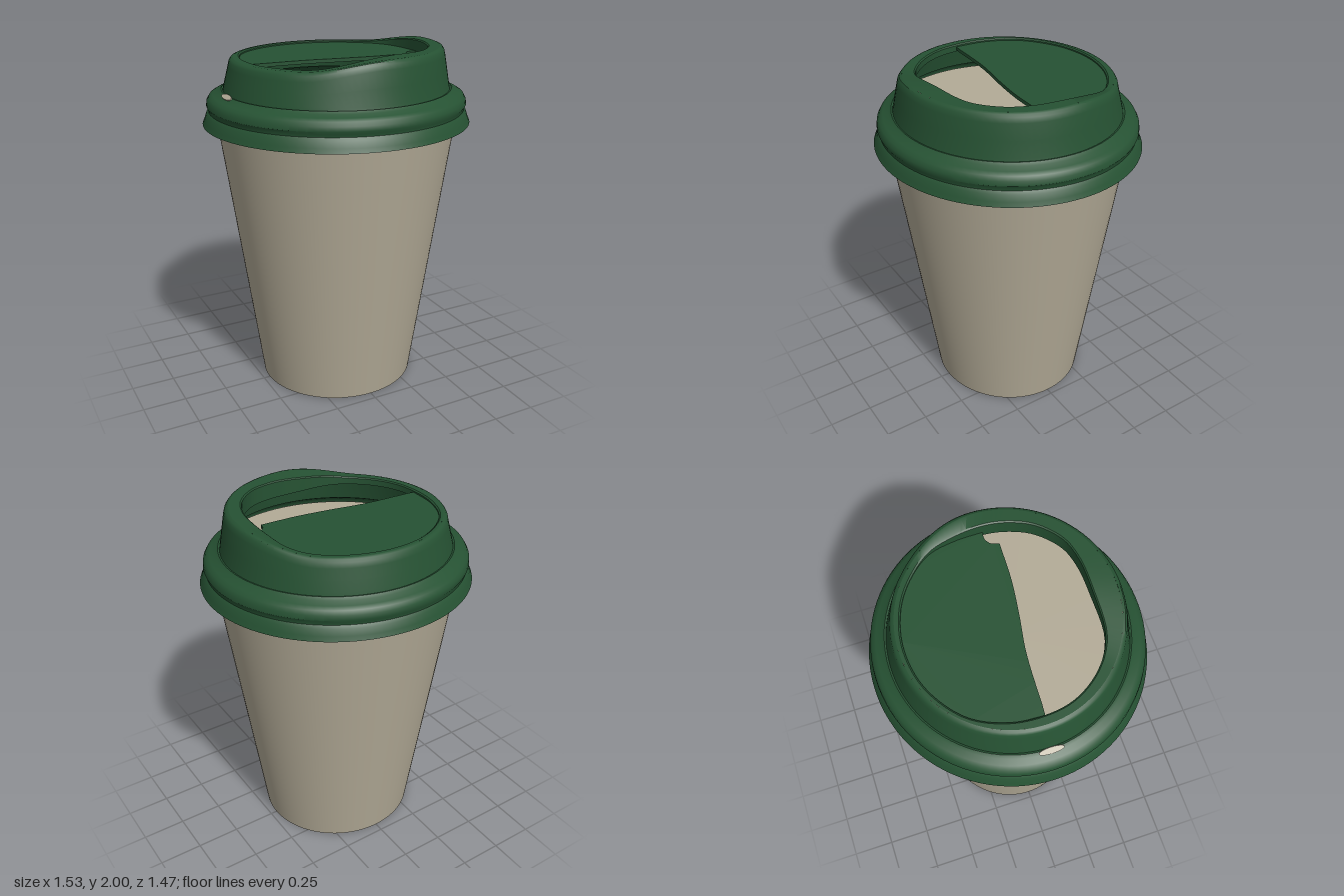
import * as THREE from 'three';
import { toCreasedNormals } from 'three/addons/utils/BufferGeometryUtils.js';

const SQUASH = 0.965; // cup is slightly oval
const SEG = 96;
const v2 = (p) => p.map(([x, y]) => new THREE.Vector2(x, y));
const v3 = (p) => p.map(([x, z]) => new THREE.Vector3(x, 0, z));

// Height of the lid rim: low at the back right corner, high over the drinking side
function rimHeight(x, z) {
  return 1.945 + 0.055 * THREE.MathUtils.smoothstep(0.72 * x + 0.7 * z, -0.02, 0.42);
}

function lathe(points) {
  const g = new THREE.LatheGeometry(v2(points), SEG);
  g.scale(1, 1, SQUASH);
  return g;
}

// Surface through a list of closed rings with equal point counts
function loft(rings) {
  const n = rings[0].length, pos = [], idx = [];
  rings.forEach((r) => r.forEach((p) => pos.push(p.x, p.y, p.z)));
  for (let k = 0; k < rings.length - 1; k++) {
    for (let i = 0; i < n; i++) {
      const a = k * n + i, b = k * n + (i + 1) % n;
      idx.push(a, a + n, b, b, a + n, b + n);
    }
  }
  const g = new THREE.BufferGeometry();
  g.setAttribute('position', new THREE.Float32BufferAttribute(pos, 3));
  g.setIndex(idx);
  return toCreasedNormals(g, 0.6);
}

export function createModel() {
  const model = new THREE.Group();
  const paper = new THREE.MeshStandardMaterial({ name: 'beige', color: 0xb3ab97 });
  const green = new THREE.MeshStandardMaterial({ name: 'darkGreen', color: 0x265233, side: THREE.DoubleSide });
  const add = (name, geometry, material, parent = model) => {
    const m = new THREE.Mesh(geometry, material);
    m.name = name;
    parent.add(m);
    return m;
  };

  // Tapered cup with a recessed base and a flat top under the lid
  add('cup', toCreasedNormals(lathe([
    [0, 0.1], [0.45, 0.1], [0.442, 0], [0.462, 0], [0.572, 0.79], [0.682, 1.58], [0.701, 1.72], [0, 1.72],
  ]), 0.6), paper);

  const lid = new THREE.Group();
  lid.name = 'lid';
  model.add(lid);

  // Skirt, bead, shelf and wall, the upper part following the rim height
  const shell = lathe([
    [0.763, 1.58], [0.752, 1.605], [0.74, 1.64], [0.728, 1.655], [0.73, 1.67], [0.738, 1.685], [0.735, 1.71],
    [0.722, 1.732], [0.7, 1.745], [0.668, 1.757], [0.652, 1.77], [0.643, 1.768], [0.639, 1.785],
    [0.624, 1.87], [0.609, 1.955], [0.602, 1.982], [0.592, 1.995], [0.578, 2],
  ]);
  const p = shell.attributes.position;
  for (let i = 0; i < p.count; i++) {
    const t = THREE.MathUtils.clamp((p.getY(i) - 1.785) / 0.17, 0, 1);
    p.setY(i, p.getY(i) + t * (rimHeight(p.getX(i), p.getZ(i)) - 2));
  }
  add('lidShell', toCreasedNormals(shell, 0.6), green, lid);

  // Outline of the recess: round at the back, flatter at the front
  const back = [
    [-0.53, 0.01], [-0.51, -0.17], [-0.42, -0.35], [-0.22, -0.49], [0, -0.53], [0.2, -0.49],
    [0.35, -0.4], [0.46, -0.27], [0.495, -0.12], [0.5, 0.03],
  ];
  const front = [
    [0.48, 0.15], [0.42, 0.28], [0.3, 0.39], [0.18, 0.427], [0, 0.435], [-0.25, 0.418], [-0.4, 0.32], [-0.5, 0.17],
  ];
  const outline = new THREE.CatmullRomCurve3(v3([...back, ...front]), true).getPoints(SEG).slice(0, -1);

  // Rim top and the inner lip falling into the recess
  const outer = outline.map(({ x, z }) => {
    const k = 0.578 / Math.hypot(x, z / SQUASH);
    return new THREE.Vector3(x * k, rimHeight(x * k, z * k), z * k);
  });
  const level = (k, height) => outline.map(({ x, z }) => new THREE.Vector3(x * k, height(x, z), z * k));
  add('lidRim', loft([
    outer,
    level(1.015, rimHeight),
    level(1, (x, z) => rimHeight(x, z) - 0.006),
    level(1, () => 1.905),
  ]), green, lid);

  // Recessed plate over the back half, with a small hooked drinking edge
  const arc = new THREE.CatmullRomCurve3(v3(back)).getPoints(60);
  const edge = new THREE.CatmullRomCurve3(v3([
    [0.5, 0.03], [0.46, 0.027], [0.425, 0.05], [0.412, 0.09],
  ])).getPoints(12);
  const sweep = new THREE.CatmullRomCurve3(v3([
    [0.412, 0.092], [0.2, 0.085], [0, 0.06], [-0.2, 0.028], [-0.53, 0.012],
  ])).getPoints(24);
  const plate = new THREE.ExtrudeGeometry(
    new THREE.Shape([...arc, ...edge.slice(1), ...sweep.slice(0, -1)].map((q) => new THREE.Vector2(q.x, -q.z))),
    { depth: 0.02, bevelEnabled: false },
  );
  plate.rotateX(-Math.PI / 2);
  add('recessPlate', plate, green, lid).position.y = 1.912;

  // Small oval vent on the lid shelf
  const vent = add('vent', new THREE.CylinderGeometry(1, 1, 0.006, 24), paper, lid);
  vent.scale.set(0.017, 1, 0.066);
  vent.position.set(-0.659, 1.768, 0.005);
  vent.rotation.z = 0.6;

  return model;
}
